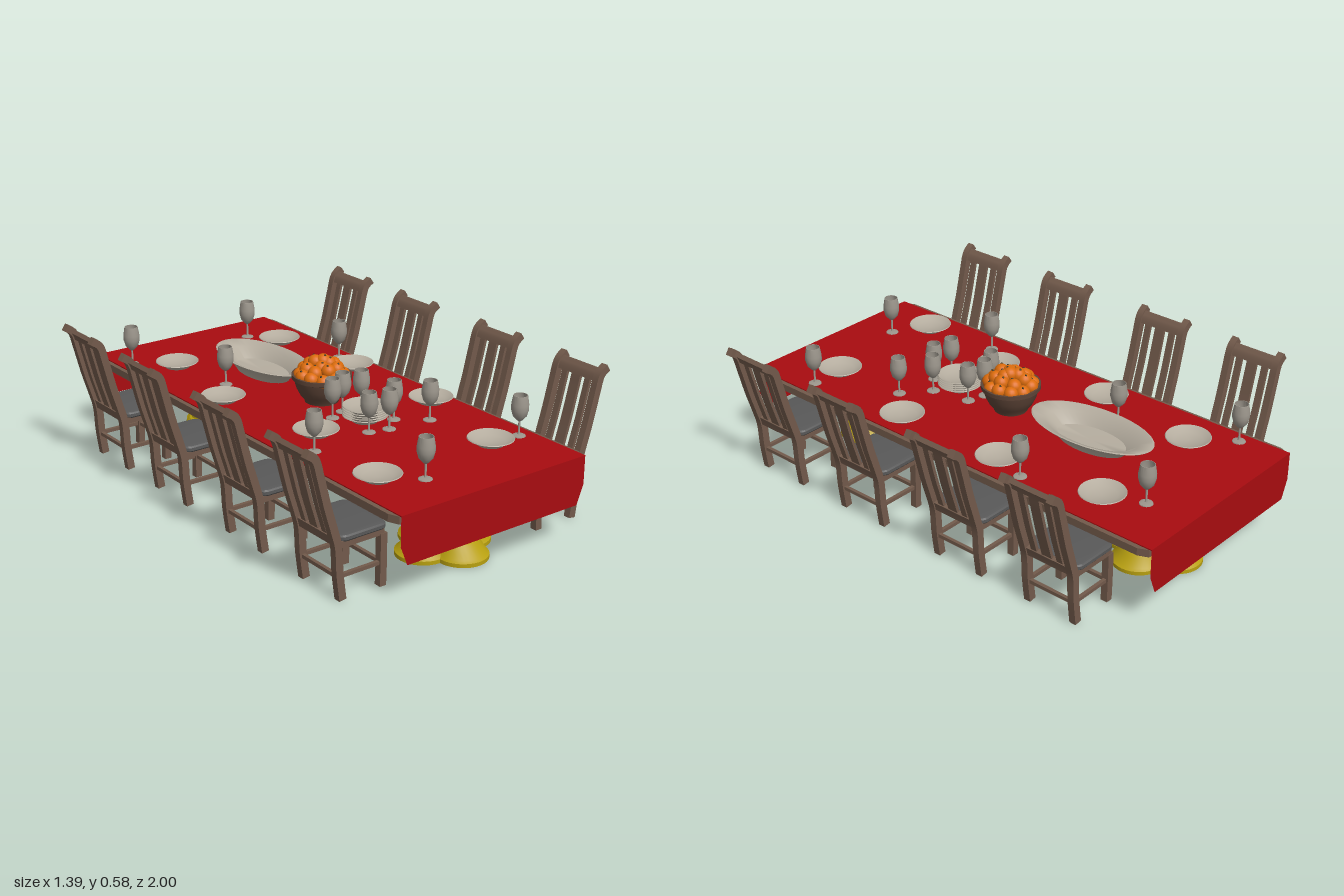
import * as THREE from 'three';
import { toCreasedNormals } from 'three/addons/utils/BufferGeometryUtils.js';

const mat = (color) => new THREE.MeshStandardMaterial({ color, side: THREE.DoubleSide });
const wood = mat(0x725a4b), darkWood = mat(0x4d3b32), red = mat(0xa80c10), gold = mat(0xb8a010);
const fabric = mat(0x585858), china = mat(0xb5ad9f), glass = mat(0x9c968c), bowlWood = mat(0x5c4336);
const orange = mat(0xdc6c0c), stalk = mat(0x33301c);
const V = (pts) => pts.map(([x, y]) => new THREE.Vector2(x, y));

function add(parent, name, geo, material, x = 0, y = 0, z = 0) {
  const m = new THREE.Mesh(geo, material);
  m.name = name;
  m.position.set(x, y, z);
  parent.add(m);
  return m;
}
const box = (w, h, d) => new THREE.BoxGeometry(w, h, d);
const lathe = (pts, sides = 24) => toCreasedNormals(new THREE.LatheGeometry(V(pts), sides), 0.6);

// Curved strip in the xy plane: a centre line with thickness, extruded in z
function ribbon(line, thick, width) {
  const side = (s) => line.map((p, i) => {
    const a = line[Math.max(i - 1, 0)], b = line[Math.min(i + 1, line.length - 1)];
    const t = b.clone().sub(a).normalize();
    return new THREE.Vector2(p.x + s * t.y * thick / 2, p.y - s * t.x * thick / 2);
  });
  const shape = new THREE.Shape([...side(1), ...side(-1).reverse()]);
  const g = new THREE.ExtrudeGeometry(shape, { depth: width, bevelEnabled: false });
  return toCreasedNormals(g.translate(0, 0, -width / 2), 0.6);
}

function roundedSlab(x0, x1, halfZ, r, depth, bevel) {
  const s = new THREE.Shape();
  s.absarc(x1 - r, halfZ - r, r, 0, Math.PI / 2);
  s.absarc(x0 + r, halfZ - r, r, Math.PI / 2, Math.PI);
  s.absarc(x0 + r, -halfZ + r, r, Math.PI, Math.PI * 1.5);
  s.absarc(x1 - r, -halfZ + r, r, Math.PI * 1.5, Math.PI * 2);
  const g = new THREE.ExtrudeGeometry(s, {
    depth, bevelThickness: bevel, bevelSize: bevel * 2, bevelOffset: -bevel * 2, bevelSegments: 2, curveSegments: 5 });
  return toCreasedNormals(g.rotateX(-Math.PI / 2), 0.6);
}

// Chair on the +x side, its back leaning away from the table
function makeChair() {
  const chair = new THREE.Group();
  const back = new THREE.SplineCurve(V([[0.543, 0], [0.556, 0.1], [0.562, 0.2], [0.58, 0.27],
    [0.607, 0.36], [0.635, 0.47], [0.655, 0.54], [0.688, 0.568]])).getPoints(40);
  const part = (lo, hi) => back.filter((p) => p.y >= lo && p.y <= hi);
  const leg = V([[0.37, 0], [0.368, 0.08], [0.368, 0.2]]);
  for (const s of [-1, 1]) {
    add(chair, 'backPost', ribbon(back, 0.03, 0.028), wood, 0, 0, s * 0.104);
    add(chair, 'frontLeg', ribbon(leg, 0.028, 0.028), wood, 0, 0, s * 0.104);
    add(chair, 'seatSideRail', box(0.2, 0.024, 0.024), wood, 0.465, 0.207, s * 0.104);
    add(chair, 'sideStretcher', box(0.19, 0.014, 0.014), wood, 0.462, 0.088, s * 0.104);
    add(chair, 'sideSlat', ribbon(part(0.22, 0.54), 0.012, 0.026), wood, 0, 0, s * 0.058);
  }
  add(chair, 'middleSlat', ribbon(part(0.22, 0.54), 0.012, 0.044), wood);
  add(chair, 'crestRail', ribbon(part(0.505, 0.56), 0.018, 0.2), wood);
  add(chair, 'lowerBackRail', ribbon(part(0.195, 0.245), 0.02, 0.2), wood);
  add(chair, 'seatFrontRail', box(0.02, 0.024, 0.2), wood, 0.368, 0.207);
  add(chair, 'frontStretcher', box(0.014, 0.014, 0.2), wood, 0.37, 0.088);
  add(chair, 'backStretcher', box(0.014, 0.014, 0.2), wood, 0.555, 0.088);
  add(chair, 'cushion', roundedSlab(0.35, 0.555, 0.122, 0.03, 0.012, 0.008), fabric, 0, 0.222);
  return chair;
}

// Four-lobed stepped foot carrying a turned column
function makePedestal() {
  const p = new THREE.Group();
  const g = new THREE.LatheGeometry(V([[0, 0], [0.2, 0], [0.2, 0.015], [0.188, 0.022], [0.165, 0.05], [0.152, 0.068],
    [0.142, 0.072], [0.138, 0.1], [0.128, 0.125], [0.108, 0.148], [0.075, 0.152], [0.07, 0.172], [0, 0.174]]), 64);
  const pos = g.attributes.position;
  for (let i = 0; i < pos.count; i++) {
    const a = Math.atan2(pos.getX(i), pos.getZ(i));
    const lobe = Math.cos(a - Math.round(a / (Math.PI / 2)) * Math.PI / 2);
    pos.setXYZ(i, pos.getX(i) * lobe, pos.getY(i), pos.getZ(i) * lobe);
  }
  add(p, 'lobedFoot', toCreasedNormals(g, 0.5), gold);
  add(p, 'column', lathe([[0.03, 0.17], [0.035, 0.18], [0.026, 0.195], [0.026, 0.225], [0.034, 0.235],
    [0.034, 0.25], [0.026, 0.26], [0.026, 0.285], [0.045, 0.295], [0.045, 0.31]], 16), wood);
  return p;
}

export function createModel() {
  const root = new THREE.Group();
  const group = (name, child, x = 0, y = 0, z = 0) => {
    child.name = name;
    child.position.set(x, y, z);
    root.add(child);
  };

  // Table top with clipped corners, darker underneath
  const top = new THREE.Shape(V([[-0.425, -0.99], [0.425, -0.99], [0.442, -0.95], [0.442, 0.95],
    [0.425, 0.99], [-0.425, 0.99], [-0.442, 0.95], [-0.442, -0.95]]));
  const slab = new THREE.ExtrudeGeometry(top, { depth: 0.028, bevelEnabled: false }).rotateX(-Math.PI / 2);
  add(root, 'tableTop', slab, wood, 0, 0.305, 0);
  add(root, 'tableUnderside', new THREE.ShapeGeometry(top).rotateX(Math.PI / 2), darkWood, 0, 0.304, 0);

  // Cloth with a hanging flap at each end
  add(root, 'tablecloth', box(0.85, 0.004, 2), red, 0, 0.336, 0);
  const flap = new THREE.ShapeGeometry(new THREE.Shape(V([[-0.425, 0.338], [-0.425, 0.225], [-0.395, 0.15],
    [0.395, 0.15], [0.425, 0.225], [0.425, 0.338]])));
  for (const s of [-1, 1]) add(root, 'clothFlap', flap, red, 0, 0, s * 0.999);

  group('frontPedestal', makePedestal(), 0, 0, 0.73);
  group('backPedestal', makePedestal(), 0, 0, -0.71);

  // Four chairs along each side
  const chair = makeChair();
  for (const z of [-0.67, -0.23, 0.27, 0.725]) {
    group('leftChair', chair.clone(), 0, 0, z);
    const r = chair.clone();
    r.rotation.y = Math.PI;
    group('rightChair', r, 0, 0, z);
  }

  // Plates, and a stack of them in the middle
  const plate = lathe([[0, 0], [0.05, 0], [0.055, 0.006], [0.088, 0.024], [0.086, 0.027], [0.055, 0.011], [0, 0.008]], 32);
  for (const [x, z] of [[-0.24, -0.67], [0.275, -0.67], [-0.305, -0.23], [0.325, -0.225], [-0.225, 0.265],
    [0.33, 0.265], [-0.3, 0.72], [0.225, 0.72]]) add(root, 'plate', plate, china, x, 0.339, z);
  for (let i = 0; i < 5; i++) add(root, 'stackedPlate', plate, china, 0.005, 0.339 + i * 0.009, 0.265);

  // Oval serving platter
  const platter = lathe([[0, 0], [0.56, 0], [0.6, 0.012], [0.78, 0.045], [0.98, 0.062], [1, 0.066], [0.97, 0.068],
    [0.76, 0.052], [0.56, 0.014], [0, 0.01]], 40).scale(0.138, 1, 0.272);
  add(root, 'platter', toCreasedNormals(platter, 0.6), china, 0, 0.339, -0.4);

  // Fruit bowl
  add(root, 'fruitBowl', lathe([[0, 0], [0.066, 0], [0.07, 0.012], [0.085, 0.03], [0.1, 0.06], [0.108, 0.092], [0.117, 0.096],
    [0.117, 0.112], [0.108, 0.112], [0.095, 0.06], [0.06, 0.02], [0, 0.015]], 32), bowlWood, 0, 0.339, 0);
  const ball = new THREE.SphereGeometry(0.029, 16, 12);
  const dot = new THREE.SphereGeometry(0.005, 6, 4);
  const rings = [[11, 0.083, 0.448], [7, 0.058, 0.472], [3, 0.03, 0.488], [1, 0.015, 0.497]];
  rings.forEach(([n, r, y], k) => {
    for (let i = 0; i < n; i++) {
      const a = (i / n) * Math.PI * 2 + k * 0.7;
      const x = r * Math.sin(a), z = r * Math.cos(a), h = y + 0.006 * Math.sin(i * 2.4);
      add(root, 'orange', ball, orange, x, h, z);
      add(root, 'orangeStalk', dot, stalk, x + 0.012 * Math.sin(i * 3), h + 0.025, z + 0.012 * Math.cos(i * 3));
    }
  });

  // Stemmed glasses, eight at the places and six around the plate stack
  const goblet = lathe([[0, 0], [0.026, 0], [0.025, 0.003], [0.006, 0.008], [0.004, 0.015], [0.004, 0.058], [0.012, 0.064],
    [0.026, 0.08], [0.033, 0.105], [0.033, 0.125], [0.027, 0.16], [0.025, 0.16], [0.03, 0.124], [0.023, 0.082], [0, 0.068]], 20);
  for (const [x, z] of [[-0.37, -0.81], [0.205, -0.81], [-0.2, -0.37], [0.36, -0.36], [-0.33, 0.395], [0.2, 0.41],
    [-0.17, 0.82], [0.36, 0.725], [-0.08, 0.175], [-0.01, 0.145], [0.065, 0.165], [0.095, 0.325], [0.02, 0.39],
    [-0.06, 0.37]]) add(root, 'wineGlass', goblet, glass, x, 0.339, z);

  return root;
}
